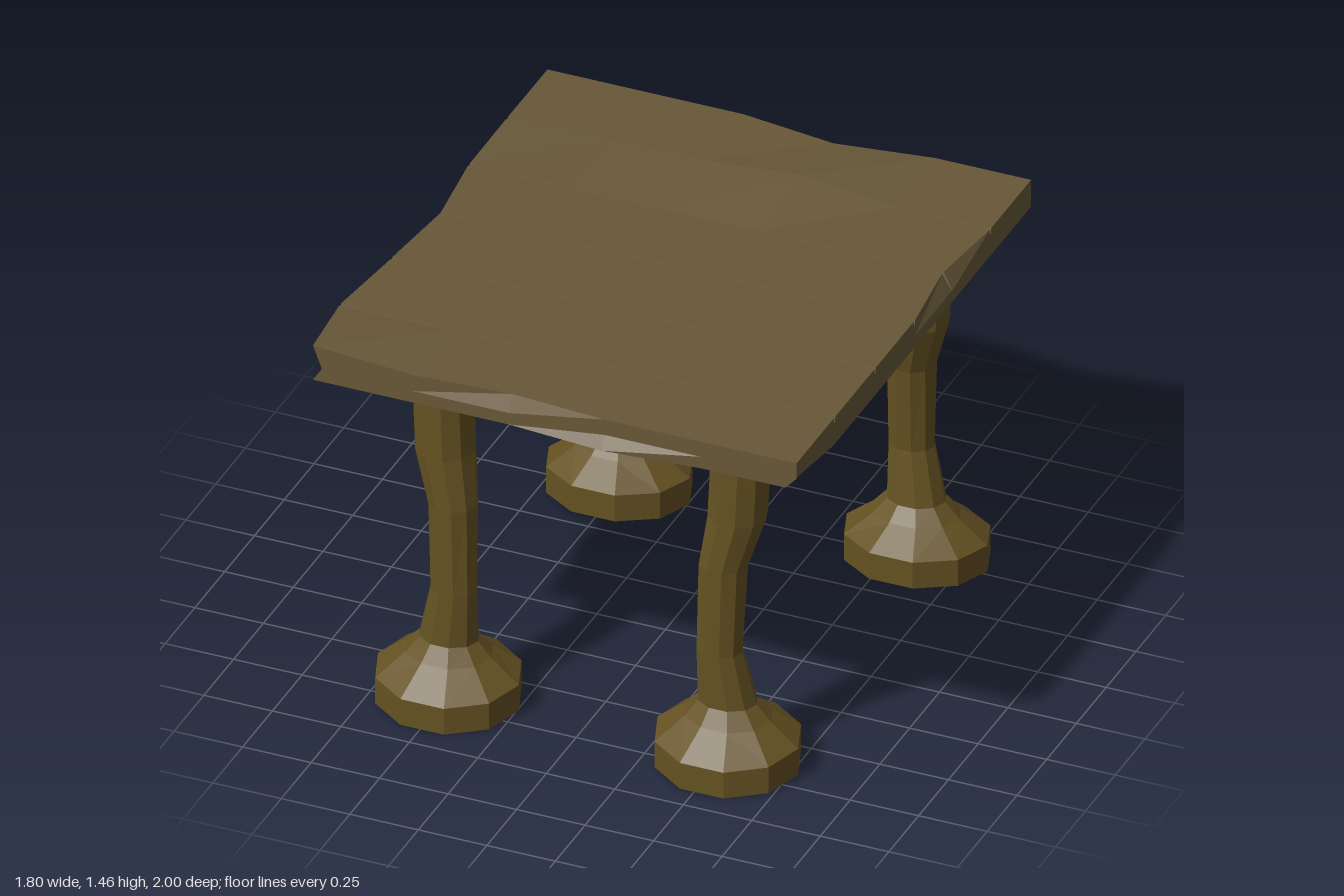
import * as THREE from 'three';

const CX = 0.0175, CZ = -0.0155; // middle of the table top

function makeMesh(name, pos, idx, color) {
  const g = new THREE.BufferGeometry();
  g.setAttribute('position', new THREE.Float32BufferAttribute(pos, 3));
  g.setIndex(idx);
  g.computeVertexNormals();
  const mesh = new THREE.Mesh(g, new THREE.MeshStandardMaterial({ color, flatShading: true }));
  mesh.name = name;
  return mesh;
}

// Warped slab of six planks, parted by narrow V grooves
function tableTop() {
  const xs = [-0.865, -0.5, -0.15, 0.2, 0.55, 0.9];
  const lines = [-1, -0.66, -0.34, -0.02, 0.31, 0.65, 0.97]; // plank borders in z
  const rows = [];
  lines.forEach((z, s) => {
    if (s === 0 || s === 6) rows.push({ z, s, drop: 0 });
    else for (const k of [-1, 0, 1]) rows.push({ z: z + k * 0.007, s, drop: k ? 0 : 0.028 });
  });

  const height = (i, s) => {
    if (s === 1) return [1.427, 1.425, 1.435, 1.46, 1.425, 1.425][i]; // hump near the back
    if (s === 6) return [1.455, 1.428, 1.425, 1.425, 1.425, 1.425][i]; // raised front corner
    return 1.425;
  };
  // sideways shift of the chipped edges; level 0 = top, 1 = middle, 2 = bottom
  const shift = (i, s, level) => {
    let dx = 0, dz = 0;
    if (i === 0 && s === 3 && level === 0) dx = 0.035;
    if (i === 0 && s === 5 && level < 2) dx = -0.04;
    if (i === 0 && s === 6 && level === 1) dx = 0.035;
    if (i === 5 && s === 2 && level === 0) dx = -0.035;
    if (i === 5 && s === 6 && level === 2) dx = -0.04;
    if (s === 6 && i === 2 && level === 0) dz = -0.027;
    if (s === 6 && i === 3 && level === 2) dz = 0.03;
    if (s === 0 && i === 3 && level === 0) dz = 0.05;
    return [dx, dz];
  };

  const pos = [], idx = [], I = xs.length, J = rows.length;
  const add = (i, j, level) => {
    const { z, s, drop } = rows[j], [dx, dz] = shift(i, s, level);
    const y = [height(i, s) - drop, 1.365, 1.32][level];
    pos.push(xs[i] + dx, y, z + dz);
    return pos.length / 3 - 1;
  };
  for (let j = 0; j < J; j++) for (let i = 0; i < I; i++) add(i, j, 0);
  for (let j = 0; j < J - 1; j++) for (let i = 0; i < I - 1; i++) {
    const a = j * I + i;
    idx.push(a, a + I, a + 1, a + 1, a + I, a + I + 1);
  }

  // rim and underside
  const rim = [];
  for (let j = 0; j < J - 1; j++) rim.push([0, j]);
  for (let i = 0; i < I - 1; i++) rim.push([i, J - 1]);
  for (let j = J - 1; j > 0; j--) rim.push([I - 1, j]);
  for (let i = I - 1; i > 0; i--) rim.push([i, 0]);
  const loops = [0, 1, 2].map(level => rim.map(([i, j]) => level ? add(i, j, level) : j * I + i));
  pos.push(CX, 1.32, CZ);
  const center = pos.length / 3 - 1, n = rim.length;
  for (let k = 0; k < n; k++) {
    const m = (k + 1) % n;
    for (let l = 0; l < 2; l++) {
      const p = loops[l], q = loops[l + 1];
      idx.push(q[k], q[m], p[m], q[k], p[m], p[k]);
    }
    idx.push(center, loops[2][m], loops[2][k]);
  }
  return makeMesh('tableTop', pos, idx, 0x685838);
}

// Leg rings: y, outward x, outward z, radius x, radius z, tilt
const RINGS = [
  [1.33, 0.5425, 0.67, 0.105, 0.105, 0],
  [1.12, 0.54, 0.672, 0.104, 0.107, 0],
  [0.97, 0.533, 0.675, 0.104, 0.105, 0],
  [0.78, 0.493, 0.702, 0.086, 0.085, 0],
  [0.45, 0.485, 0.717, 0.083, 0.068, 0],
  [0.25, 0.508, 0.703, 0.106, 0.086, 0],
  [0.195, 0.51, 0.702, 0.157, 0.128, 0.03],
  [0.115, 0.51, 0.705, 0.257, 0.232, 0.06],
  [0.014, 0.51, 0.705, 0.257, 0.232, 0.06],
  [0.1, 0.51, 0.705, 0.13, 0.115, 0.03], // hollow underside of the foot
  [0.11, 0.51, 0.705, 0, 0, 0],
];

// Bent ten-sided leg on a wide foot
function leg(name, sx, sz, ox, oz) {
  const pos = [], idx = [], n = 10;
  for (const [y, cx, cz, rx, rz, tilt] of RINGS) {
    for (let k = 0; k < n; k++) {
      const a = k / n * Math.PI * 2, dz = rz * Math.sin(a);
      pos.push(CX + sx * (cx + ox + rx * Math.cos(a)), y - tilt * dz, CZ + sz * (cz + oz + dz));
    }
  }
  for (let r = 0; r < RINGS.length - 1; r++) for (let k = 0; k < n; k++) {
    const a = r * n + k, b = r * n + (k + 1) % n, c = a + n, d = b + n;
    if (sx * sz > 0) idx.push(a, b, c, b, d, c);
    else idx.push(a, c, b, b, c, d);
  }
  return makeMesh(name, pos, idx, 0x655222);
}

export function createModel() {
  const table = new THREE.Group();
  table.name = 'table';
  table.add(
    tableTop(),
    leg('frontLeftLeg', 1, 1, 0, 0),
    leg('frontRightLeg', -1, 1, 0, 0),
    leg('backLeftLeg', 1, -1, 0.065, 0.03),
    leg('backRightLeg', -1, -1, 0, 0.025),
  );
  return table;
}
